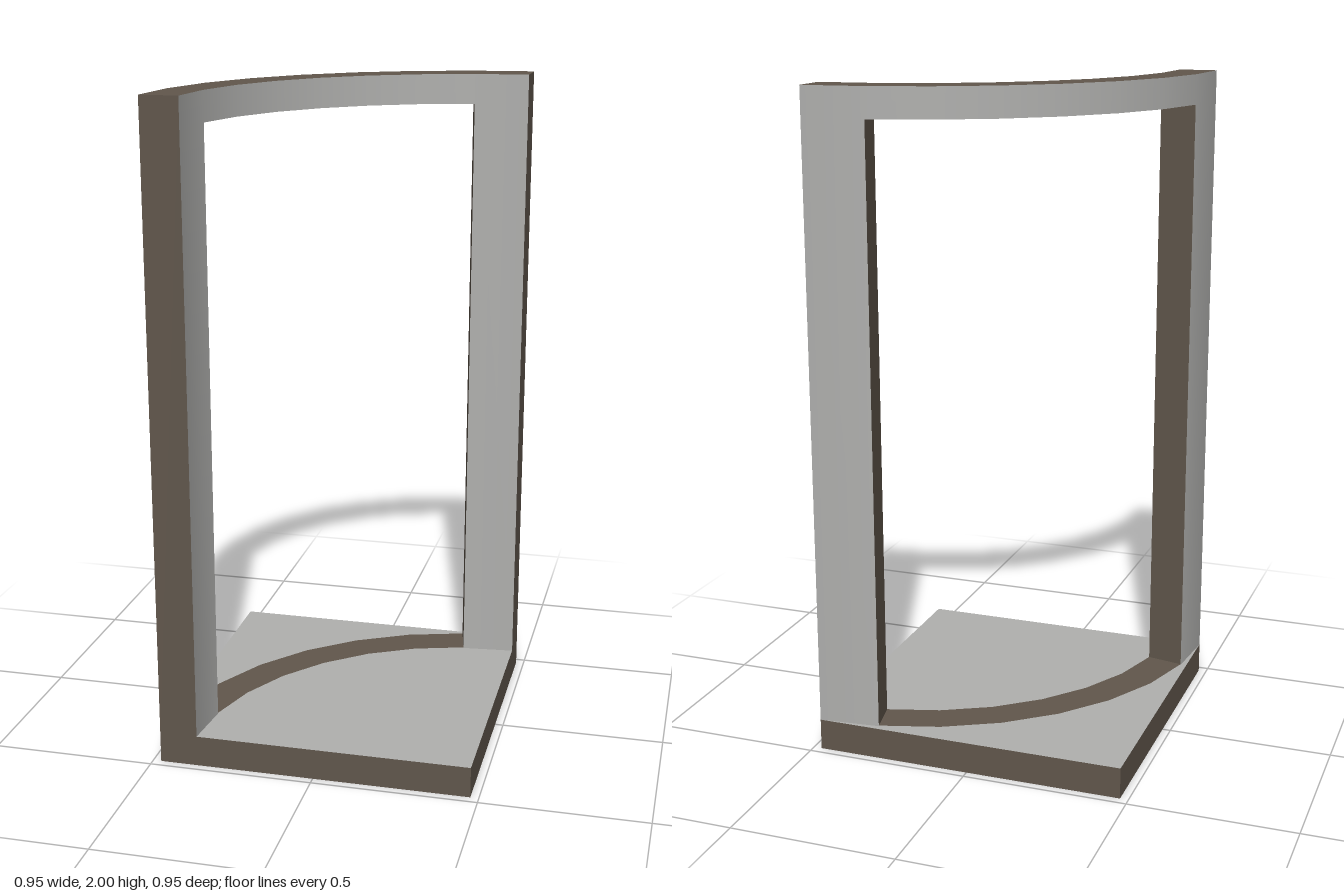
import * as THREE from 'three';

const HALF = 0.475, BASE_H = 0.095, TOP = 2, ARCH_Y = 1.91;
const R_OUT = 0.95, R_IN = 0.835, SEGS = 8, STEP = Math.PI / 2 / SEGS;

const panel = new THREE.MeshStandardMaterial({ color: 0xb0b0ae });
panel.name = 'light grey';
const trim = new THREE.MeshStandardMaterial({ color: 0x61574c });
trim.name = 'dark brown';

// Surface swept along the quarter arc, from segment s to segment e
function sweep(name, a, b, s, e, material) {
  const points = [new THREE.Vector2(...a), new THREE.Vector2(...b)];
  const geometry = new THREE.LatheGeometry(points, e - s, Math.PI + s * STEP, (e - s) * STEP);
  const mesh = new THREE.Mesh(geometry, material);
  mesh.name = name;
  return mesh;
}

// Flat radial face closing a section
function endFace(name, seg, y0, y1, flip) {
  const phi = Math.PI + seg * STEP, r = (R_IN + R_OUT) / 2;
  const mesh = new THREE.Mesh(new THREE.PlaneGeometry(R_OUT - R_IN, y1 - y0), trim);
  mesh.position.set(r * Math.sin(phi), (y0 + y1) / 2, r * Math.cos(phi));
  mesh.rotation.y = phi - Math.PI / 2 + (flip ? Math.PI : 0);
  mesh.name = name;
  return mesh;
}

// Solid curved section: grey curved walls, brown top, underside and ends
function section(name, s, e, y0, y1) {
  const group = new THREE.Group();
  group.name = name;
  group.add(
    sweep('outerWall', [R_OUT, y0], [R_OUT, y1], s, e, panel),
    sweep('innerWall', [R_IN, y1], [R_IN, y0], s, e, panel),
    sweep('topFace', [R_OUT, y1], [R_IN, y1], s, e, trim),
    sweep('underside', [R_IN, y0], [R_OUT, y0], s, e, trim),
    endFace('startFace', s, y0, y1, false),
    endFace('endFace', e, y0, y1, true)
  );
  return group;
}

export function createModel() {
  const model = new THREE.Group();
  model.name = 'curvedWindowFrame';

  // Square base: grey top and bottom, brown edges
  const base = new THREE.Mesh(
    new THREE.BoxGeometry(2 * HALF, BASE_H, 2 * HALF),
    [trim, trim, panel, panel, trim, trim]
  );
  base.position.y = BASE_H / 2;
  base.name = 'base';
  model.add(base);

  // Curved frame, centred on the front left corner
  const frame = new THREE.Group();
  frame.name = 'frame';
  frame.position.set(HALF, 0, HALF);
  frame.add(
    section('backPost', 0, 1, BASE_H, TOP),
    section('frontPost', SEGS - 1, SEGS, BASE_H, TOP),
    section('topRail', 1, SEGS - 1, ARCH_Y, TOP),
    // Brown sill band on the floor between the posts
    sweep('sill', [R_OUT, BASE_H + 0.002], [R_IN, BASE_H + 0.002], 1, SEGS - 1, trim)
  );
  model.add(frame);
  return model;
}
